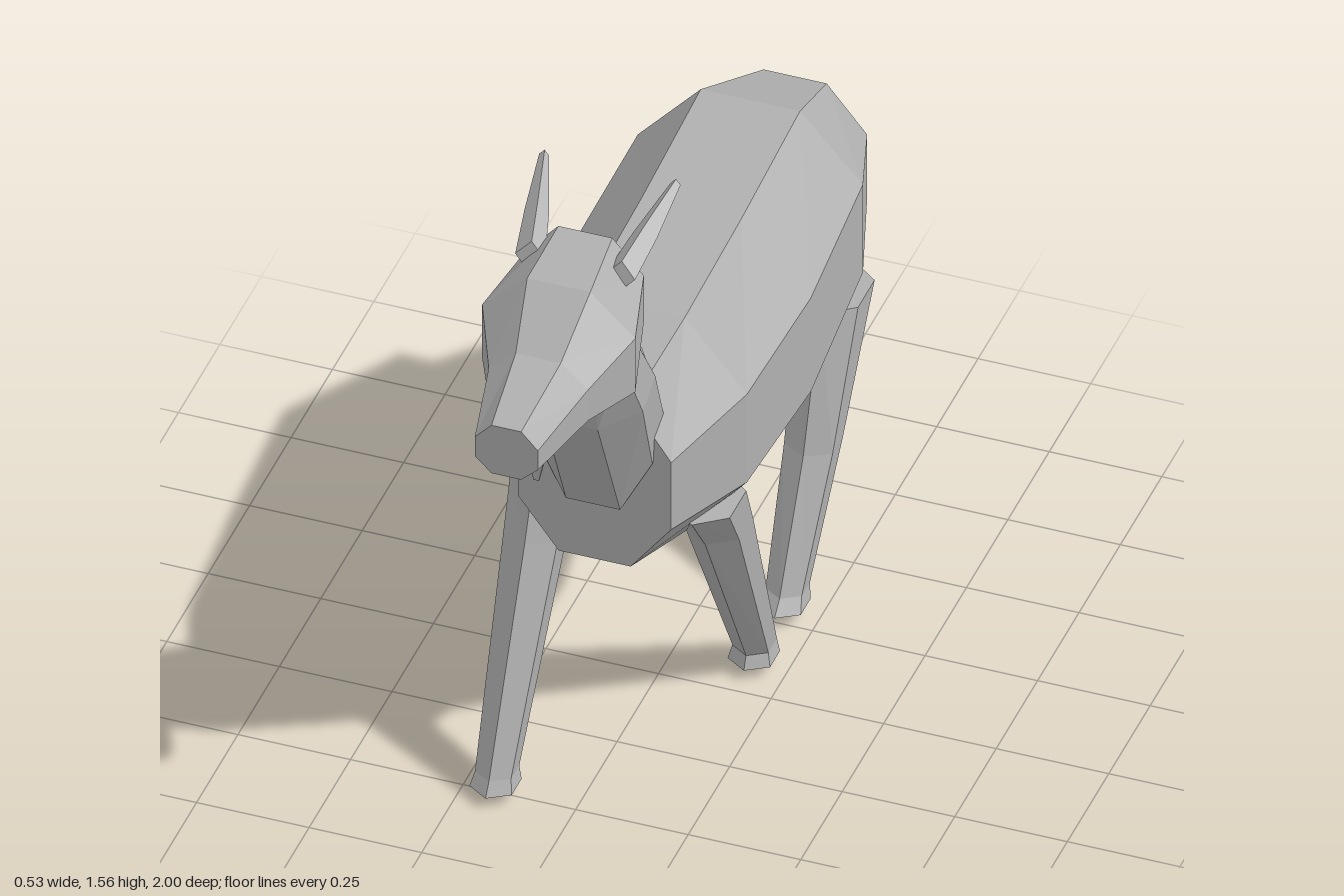
import * as THREE from 'three';

const grey = new THREE.MeshStandardMaterial({ color: 0xb0b0b0, flatShading: true });
grey.name = 'grey';

// Skin a closed solid over rings of equal point count, with capped ends
function loft(name, rings) {
  const tris = [];
  const n = rings[0].length;
  for (let r = 0; r < rings.length - 1; r++) {
    for (let i = 0; i < n; i++) {
      const j = (i + 1) % n;
      const [a, b, c, d] = [rings[r][i], rings[r][j], rings[r + 1][j], rings[r + 1][i]];
      tris.push([a, b, c], [a, c, d]);
    }
  }
  const last = rings[rings.length - 1];
  for (let i = 1; i < n - 1; i++) {
    tris.push([rings[0][0], rings[0][i + 1], rings[0][i]], [last[0], last[i], last[i + 1]]);
  }
  // Turn the faces outward whichever way the rings run
  let volume = 0;
  const cross = new THREE.Vector3();
  for (const [a, b, c] of tris) volume += a.dot(cross.crossVectors(b, c));
  const points = tris.flatMap(([a, b, c]) => (volume < 0 ? [a, c, b] : [a, b, c]));
  const geometry = new THREE.BufferGeometry().setFromPoints(points);
  geometry.computeVertexNormals();
  const mesh = new THREE.Mesh(geometry, grey);
  mesh.name = name;
  return mesh;
}

// Octagon from four [y, z] levels: narrow at the first and last, wide between
function octagon(cx, inner, outer, levels) {
  return [[-inner, 0], [inner, 0], [outer, 1], [outer, 2], [inner, 3], [-inner, 3], [-outer, 2], [-outer, 1]]
    .map(([x, k]) => new THREE.Vector3(cx + x, levels[k][0], levels[k][1]));
}

// Upright octagon at one z
const slice = (z, cx, inner, outer, ys) => octagon(cx, inner, outer, ys.map((y) => [y, z]));

// Level hexagon with points fore and aft, for the legs
function hexagon(cx, y, cz, rx, rz) {
  return [[0, 1], [1, 0.5], [1, -0.5], [0, -1], [-1, -0.5], [-1, 0.5]]
    .map(([x, z]) => new THREE.Vector3(cx + x * rx, y, cz + z * rz));
}

// Leg from [y, z, half width, half depth] steps
const leg = (name, cx, steps) => loft(name, steps.map(([y, z, rx, rz]) => hexagon(cx, y, z, rx, rz)));

export function createModel() {
  const model = new THREE.Group();
  model.name = 'goat';

  // Barrel body
  model.add(loft('body', [
    slice(0.385, 0, 0.08, 0.17, [0.575, 0.695, 0.87, 1.0]),
    slice(0.14, 0, 0.11, 0.248, [0.5, 0.665, 0.895, 1.06]),
    slice(-0.2, 0, 0.11, 0.265, [0.495, 0.665, 0.91, 1.075]),
    slice(-0.555, 0, 0.11, 0.25, [0.55, 0.72, 0.95, 1.105]),
    slice(-0.825, 0, 0.07, 0.16, [0.585, 0.7, 0.865, 0.975]),
  ]));

  // Neck leaning forward from the shoulders
  model.add(loft('neck', [
    octagon(0, 0.06, 0.13, [[0.725, 0.395], [0.86, 0.39], [0.91, 0.31], [1.05, 0.26]]),
    octagon(0, 0.06, 0.14, [[1.03, 0.53], [1.06, 0.475], [1.1, 0.4], [1.19, 0.36]]),
    octagon(0, 0.06, 0.122, [[1.19, 0.565], [1.24, 0.555], [1.26, 0.485], [1.31, 0.455]]),
  ]));

  // Head tapering to the muzzle, turned slightly to one side
  model.add(loft('head', [
    slice(0.455, 0.005, 0.06, 0.13, [1.19, 1.28, 1.4, 1.48]),
    slice(0.64, 0.014, 0.07, 0.17, [1.15, 1.24, 1.38, 1.475]),
    slice(0.78, 0.02, 0.05, 0.11, [1.195, 1.25, 1.33, 1.385]),
    slice(1.0, 0.03, 0.033, 0.07, [1.235, 1.27, 1.32, 1.36]),
  ]));

  // Swept-back horns
  for (const side of [1, -1]) {
    const ring = (x, y, z, r) => [[1, 0], [0, 1], [-1, 0], [0, -1]]
      .map(([a, b]) => new THREE.Vector3(0.008 + side * (x + a * r), y + b * r, z - b * r * 0.3));
    model.add(loft(side > 0 ? 'leftHorn' : 'rightHorn', [
      ring(0.1, 1.44, 0.525, 0.033),
      ring(0.12, 1.485, 0.43, 0.027),
      ring(0.146, 1.545, 0.315, 0.011),
    ]));
  }

  // Thin pointed beard
  const beardRing = (y, r, d) => [[-r, 0.785 - d], [r, 0.785 - d], [r, 0.785 + d], [-r, 0.785 + d]]
    .map(([x, z]) => new THREE.Vector3(0.018 + x, y, z));
  model.add(loft('beard', [beardRing(1.215, 0.029, 0.009), beardRing(1.13, 0.019, 0.006), beardRing(1.07, 0.006, 0.002)]));

  // Drooping tail
  model.add(loft('tail', [
    octagon(0.0, 0.025, 0.05, [[0.84, -0.81], [0.865, -0.81], [0.91, -0.82], [0.945, -0.82]]),
    octagon(0.015, 0.02, 0.043, [[0.795, -0.9], [0.815, -0.905], [0.845, -0.915], [0.865, -0.92]]),
    octagon(0.035, 0.008, 0.02, [[0.73, -1.0], [0.74, -1.0], [0.755, -1.0], [0.77, -1.0]]),
  ]));

  // Legs in mid-stride
  model.add(leg('leftFrontLeg', 0.175, [
    [0.63, 0.175, 0.066, 0.1],
    [0.52, 0.11, 0.06, 0.083],
    [0.055, -0.105, 0.04, 0.052],
    [0.025, -0.1, 0.047, 0.06],
  ]));
  model.add(leg('leftHindLeg', 0.175, [
    [0.63, -0.6, 0.066, 0.1],
    [0.33, -0.46, 0.054, 0.062],
    [0.06, -0.305, 0.04, 0.05],
    [0.03, -0.285, 0.047, 0.06],
  ]));
  model.add(leg('rightFrontLeg', -0.178, [
    [0.63, 0.18, 0.066, 0.1],
    [0.52, 0.25, 0.06, 0.075],
    [0.055, 0.49, 0.04, 0.05],
    [0.025, 0.5, 0.047, 0.06],
  ]));
  model.add(leg('rightHindLeg', -0.178, [
    [0.63, -0.63, 0.066, 0.09],
    [0.52, -0.69, 0.06, 0.075],
    [0.035, -0.862, 0.04, 0.05],
    [0, -0.847, 0.047, 0.06],
  ]));

  return model;
}
